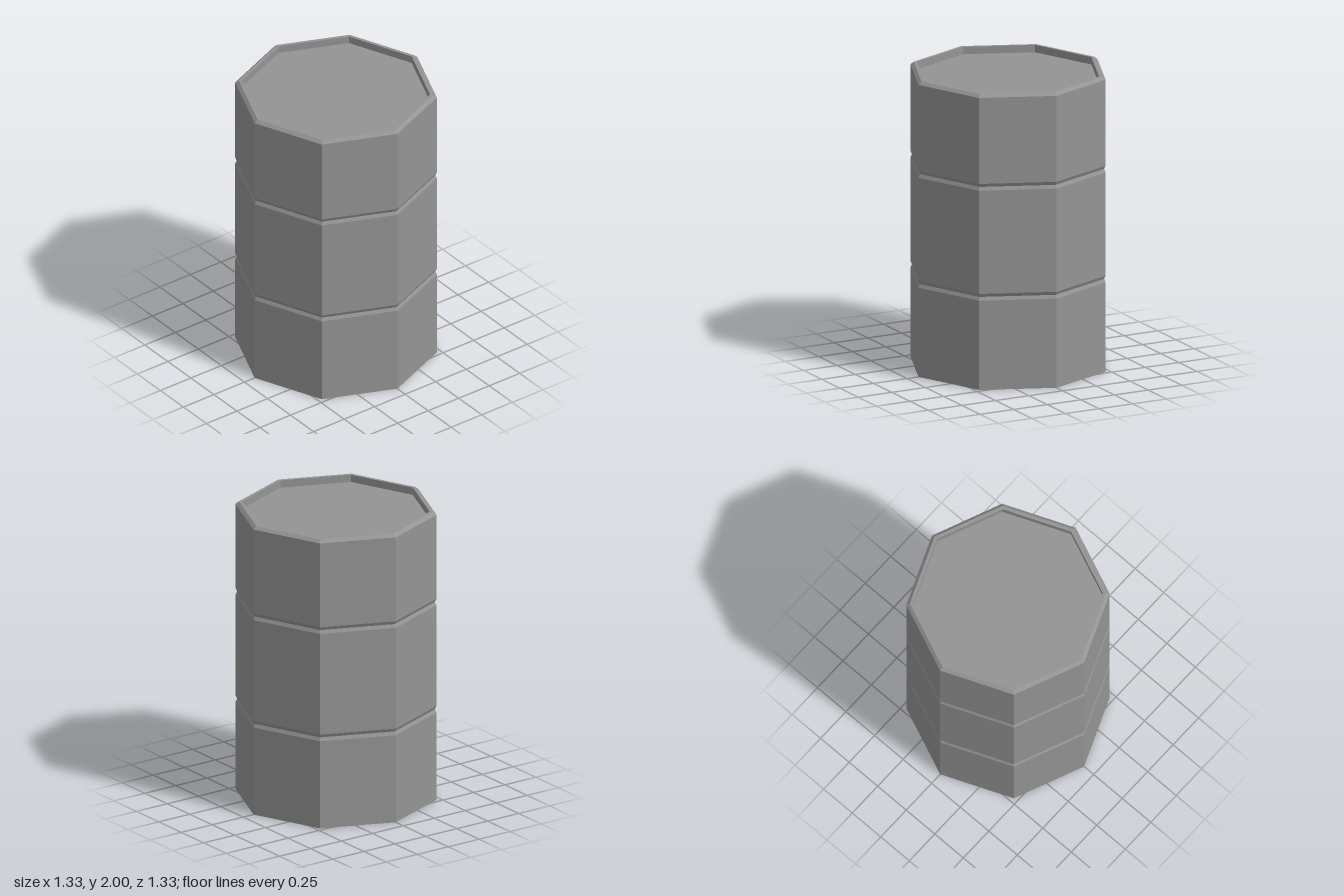
import * as THREE from 'three';

const SIDES = 8;
const R = 0.666;       // outer radius, corners on the axes
const RIM_IN = 0.62;   // inner radius of the rim
const LID_Y = 1.95;    // height of the recessed lid

export function createModel() {
  const group = new THREE.Group();
  group.name = 'barrel';
  const material = new THREE.MeshStandardMaterial({ color: 0x949494, flatShading: true });

  const add = (name, geometry) => {
    const mesh = new THREE.Mesh(geometry, material);
    mesh.name = name;
    group.add(mesh);
    return mesh;
  };
  const lathe = (points) =>
    new THREE.LatheGeometry(points.map(([r, y]) => new THREE.Vector2(r, y)), SIDES);

  // Side wall with two shallow V grooves
  const wall = [[R, 0]];
  for (const y of [0.628, 1.374]) {
    wall.push([R, y - 0.023], [R - 0.012, y], [R, y + 0.023]);
  }
  wall.push([R, 1.98]);
  add('wall', lathe(wall));

  // Bevelled rim, dropping inside to the lid
  add('rim', lathe([[R, 1.98], [0.643, 2], [RIM_IN, 2], [RIM_IN, LID_Y]]));

  // Flat recessed lid and closed bottom
  const lid = add('lid', new THREE.CircleGeometry(RIM_IN, SIDES));
  lid.rotation.x = -Math.PI / 2;
  lid.position.y = LID_Y;
  const bottom = add('bottom', new THREE.CircleGeometry(R, SIDES));
  bottom.rotation.x = Math.PI / 2;

  return group;
}
